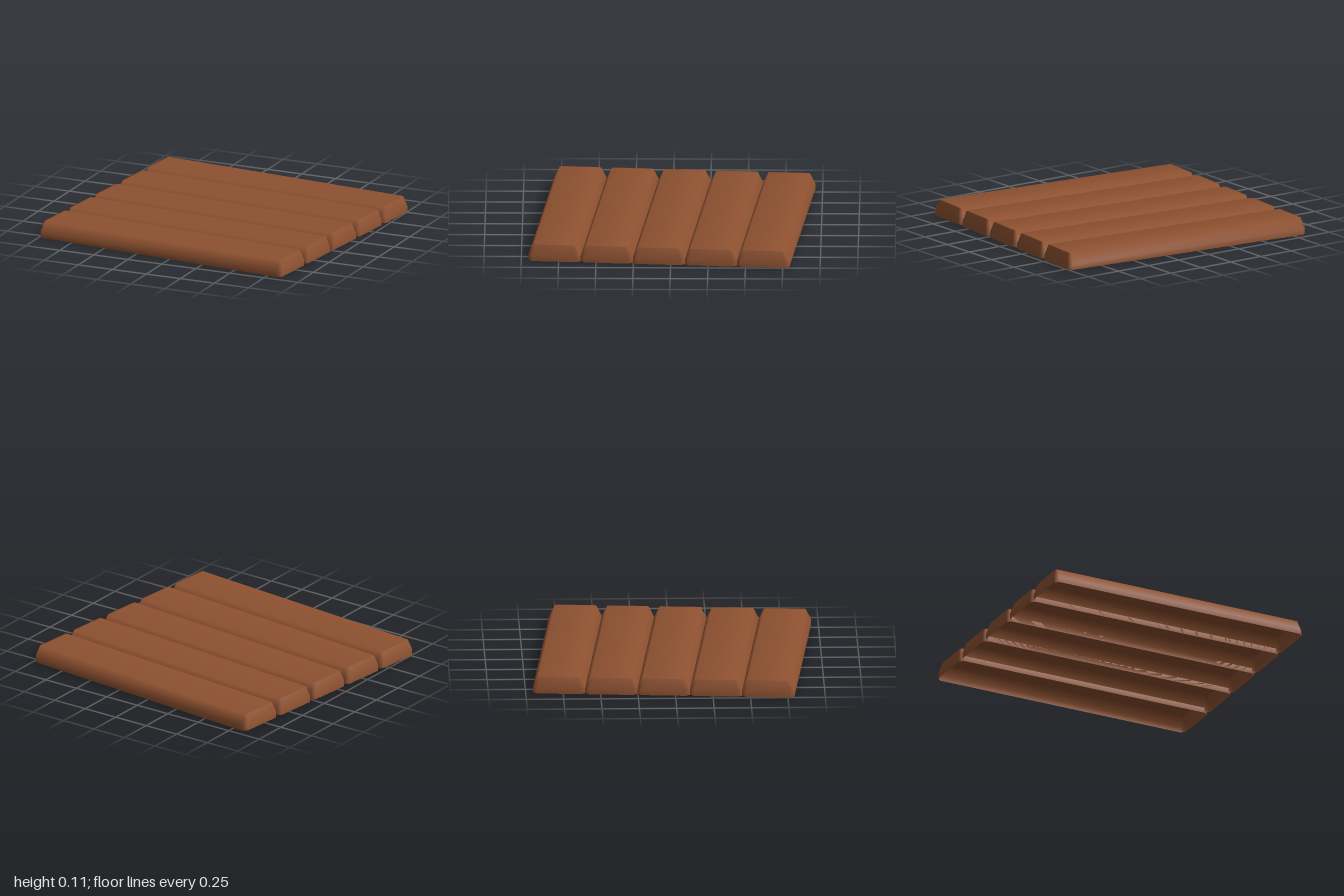
import * as THREE from 'three';

const COUNT = 5, PITCH = 0.3505, HALF_LENGTH = 0.93;

// Plank shell, open underneath: three cut-corner rings joined by walls, plus a top
function plankGeometry() {
  const rings = [
    { y: 0, inX: 0, inZ: 0, cut: 0.028 },
    { y: 0.037, inX: 0, inZ: 0, cut: 0.028 },
    { y: 0.108, inX: 0.02, inZ: 0.036, cut: 0.012 },
  ];
  const positions = [], index = [];
  for (const { y, inX, inZ, cut } of rings) {
    const a = HALF_LENGTH - inX, w = PITCH / 2 - inZ;
    const outline = [
      [a - cut, w], [a, w - cut], [a, cut - w], [a - cut, -w],
      [cut - a, -w], [-a, cut - w], [-a, w - cut], [cut - a, w],
    ];
    for (const [x, z] of outline) positions.push(x, y, z);
  }
  const quad = (a, b, c, d) => index.push(a, b, c, a, c, d);
  for (let r = 0; r < 2; r++) {
    for (let i = 0; i < 8; i++) {
      const j = (i + 1) % 8;
      quad(r * 8 + i, r * 8 + j, r * 8 + 8 + j, r * 8 + 8 + i);
    }
  }
  quad(16, 17, 18, 19);
  quad(16, 19, 20, 23);
  quad(20, 21, 22, 23);

  const geometry = new THREE.BufferGeometry();
  geometry.setAttribute('position', new THREE.Float32BufferAttribute(positions, 3));
  geometry.setIndex(index);
  geometry.computeVertexNormals();
  return geometry;
}

export function createModel() {
  const model = new THREE.Group();
  model.name = 'plankFloor';

  const wood = new THREE.MeshStandardMaterial({ color: 0x8f5231, side: THREE.DoubleSide });
  wood.name = 'brown wood';

  // Five planks side by side, the whole floor turned slightly
  const geometry = plankGeometry();
  for (let i = 0; i < COUNT; i++) {
    const plank = new THREE.Mesh(geometry, wood);
    plank.name = `plank${i + 1}`;
    plank.position.z = (i - (COUNT - 1) / 2) * PITCH;
    model.add(plank);
  }
  model.rotation.y = -THREE.MathUtils.degToRad(5);
  return model;
}
